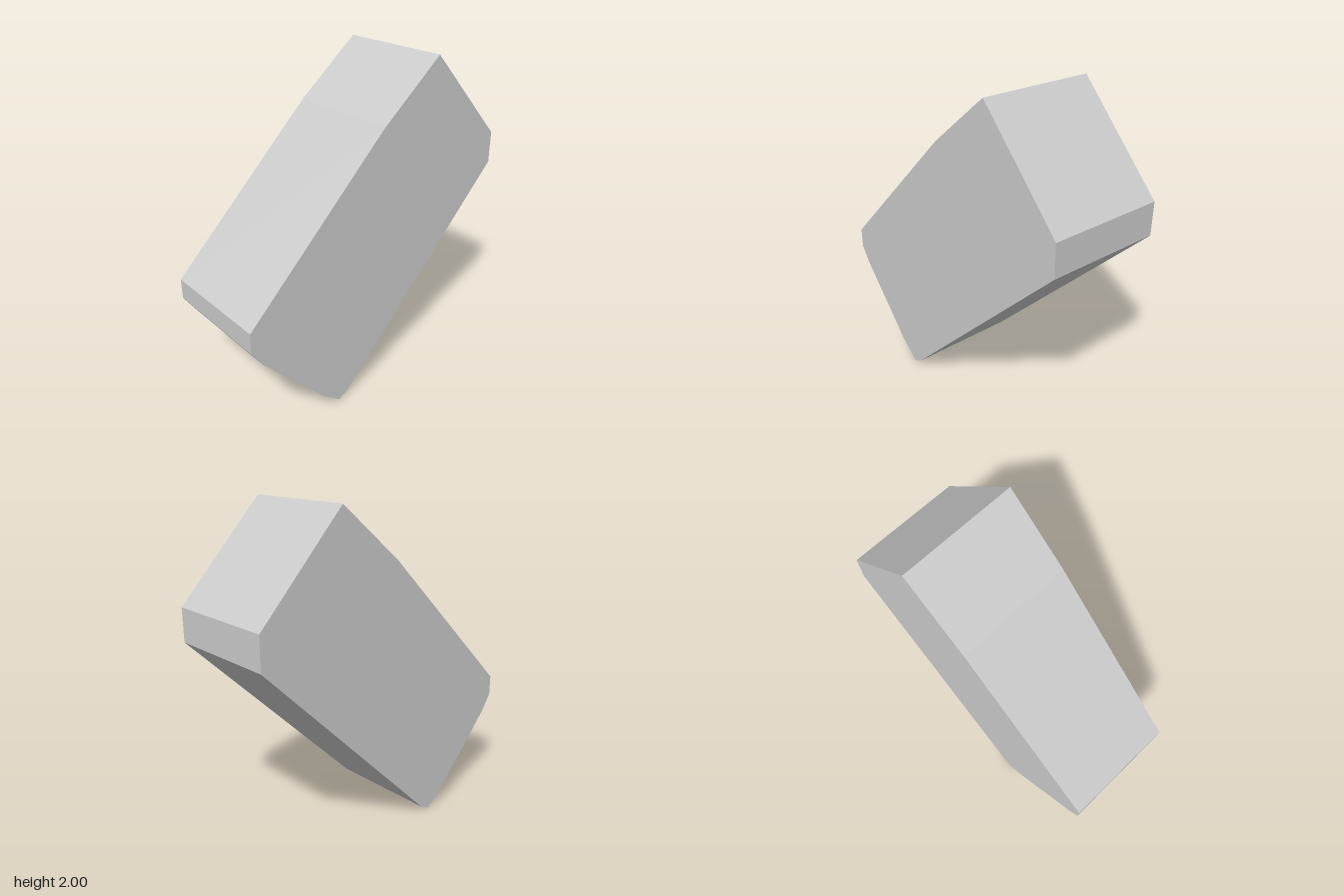
import * as THREE from 'three';

export function createModel() {
  const group = new THREE.Group();
  group.name = 'tiltedBlock';

  // Chamfered outline of the slab, counter-clockwise from its lowest corner
  const outline = [
    [-0.335, 0], [-0.27, 0.035], [0.933, 1.236], [0.933, 1.435], [0.4, 2],
    [-0.005, 1.67], [-0.935, 0.767], [-0.935, 0.64], [-0.868, 0.54], [-0.465, 0.103],
  ].map(([x, y]) => new THREE.Vector2(x, y));

  // Straight extrusion, centred front to back
  const depth = 0.716;
  const geometry = new THREE.ExtrudeGeometry(new THREE.Shape(outline), {
    depth, bevelEnabled: false,
  });
  geometry.translate(0, 0, -depth / 2);

  const material = new THREE.MeshStandardMaterial({ color: 0xcccccc, flatShading: true });
  const block = new THREE.Mesh(geometry, material);
  block.name = 'block';
  group.add(block);
  return group;
}
